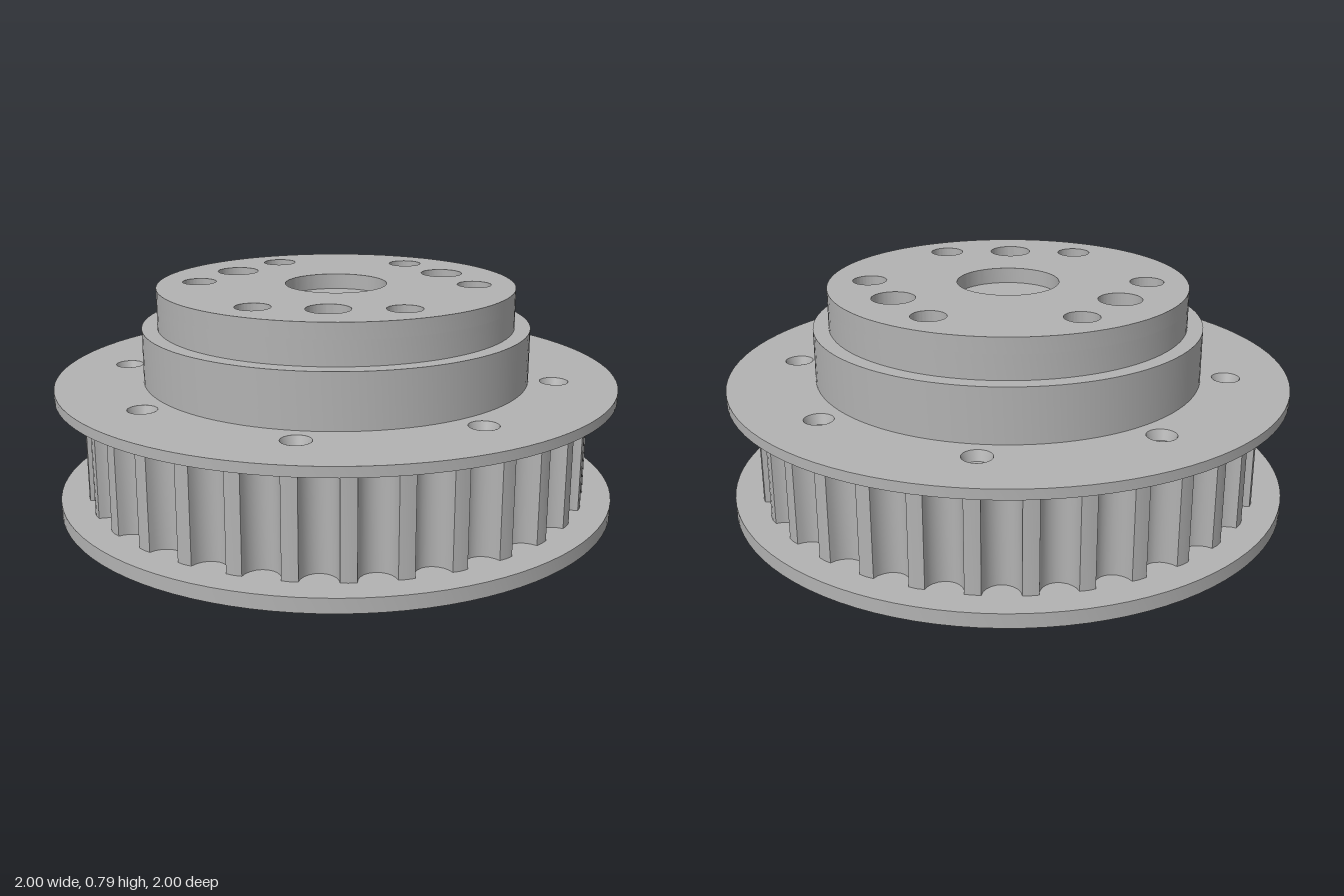
import * as THREE from 'three';
import { toCreasedNormals } from 'three/addons/utils/BufferGeometryUtils.js';

const TEETH = 32;
const POCKET_R = 0.69;

export function createModel() {
  const model = new THREE.Group();
  model.name = 'timingPulley';
  const metal = new THREE.MeshStandardMaterial({ color: 0xb2b2b2, side: THREE.DoubleSide });
  metal.name = 'machined grey metal';

  const add = (geometry, name, x = 0, y = 0, z = 0) => {
    const mesh = new THREE.Mesh(geometry, metal);
    mesh.name = name;
    mesh.position.set(x, y, z);
    model.add(mesh);
    return mesh;
  };

  // Positions [x, z] evenly spaced on a bolt circle
  const boltCircle = (count, radius, start) =>
    Array.from({ length: count }, (_, i) => {
      const a = start + (i * Math.PI * 2) / count;
      return [radius * Math.cos(a), radius * Math.sin(a)];
    });

  const disc = (radius) => new THREE.Shape().absarc(0, 0, radius, 0, Math.PI * 2, false);

  // Cut round holes through a shape (shape y runs along -z)
  const drill = (shape, points, radius) => {
    for (const [x, z] of points) {
      shape.holes.push(new THREE.Path().absarc(x, -z, radius, 0, Math.PI * 2, true));
    }
    return shape;
  };

  // Extrude a shape upwards from y0 to y1
  const plate = (name, shape, y0, y1, curveSegments = 48) => {
    const g = new THREE.ExtrudeGeometry(shape, { depth: y1 - y0, bevelEnabled: false, curveSegments });
    g.rotateX(-Math.PI / 2);
    add(toCreasedNormals(g, 0.5), name, 0, y0, 0);
  };

  const centre = [[0, 0]];
  const throughHoles = boltCircle(6, 0.49, 0);
  const drilledHoles = boltCircle(3, 0.44, Math.PI / 2);
  const flangeHoles = boltCircle(8, 0.78, Math.PI / TEETH);

  // Lower flange
  plate('lowerFlange', drill(disc(1), centre, POCKET_R), 0, 0.05);

  // Toothed ring: narrow lands between rounded grooves
  const pitch = (Math.PI * 2) / TEETH;
  const profile = [];
  for (let i = 0; i < TEETH; i++) {
    const mid = i * pitch;
    for (let k = 0; k <= 10; k++) {
      const t = (k / 10) * Math.PI;
      const a = mid - 0.069 * Math.cos(t);
      const r = 0.9 - 0.065 * Math.sin(t);
      profile.push(new THREE.Vector2(r * Math.cos(a), r * Math.sin(a)));
    }
    const land = mid + pitch / 2;
    profile.push(new THREE.Vector2(0.902 * Math.cos(land), 0.902 * Math.sin(land)));
  }
  plate('toothedRing', drill(new THREE.Shape(profile), centre, POCKET_R), 0.05, 0.42);

  // Upper flange with tapered blind holes
  const upper = drill(disc(1), centre, POCKET_R);
  plate('upperFlange', drill(upper, flangeHoles, 0.05), 0.42, 0.455);
  for (const [x, z] of flangeHoles) {
    add(new THREE.CylinderGeometry(0.05, 0.038, 0.034, 24, 1, true), 'flangeHoleTaper', x, 0.438, z);
  }

  // Hub: stepped discs, with a pocket left open underneath
  const hubBase = drill(disc(POCKET_R), centre, 0.18);
  plate('hubBase', drill(hubBase, throughHoles, 0.06), 0.34, 0.645);

  const hubWeb = drill(disc(0.635), throughHoles, 0.06);
  plate('hubWeb', drill(hubWeb, drilledHoles, 0.075), 0.645, 0.73);

  const hubTop = drill(disc(0.635), centre, 0.18);
  drill(hubTop, throughHoles, 0.06);
  plate('hubTop', drill(hubTop, drilledHoles, 0.075), 0.73, 0.785);

  // Conical bottoms of the three wider holes
  for (const [x, z] of drilledHoles) {
    const cone = new THREE.ConeGeometry(0.075, 0.045, 32, 1, true);
    cone.rotateX(Math.PI);
    add(cone, 'drillPoint', x, 0.7075, z);
  }

  // Floors in the four off-axis bolt holes
  for (const [x, z] of throughHoles) {
    if (Math.abs(z) > 0.1) add(new THREE.CylinderGeometry(0.06, 0.06, 0.02, 32), 'boltHoleFloor', x, 0.5, z);
  }

  return model;
}
